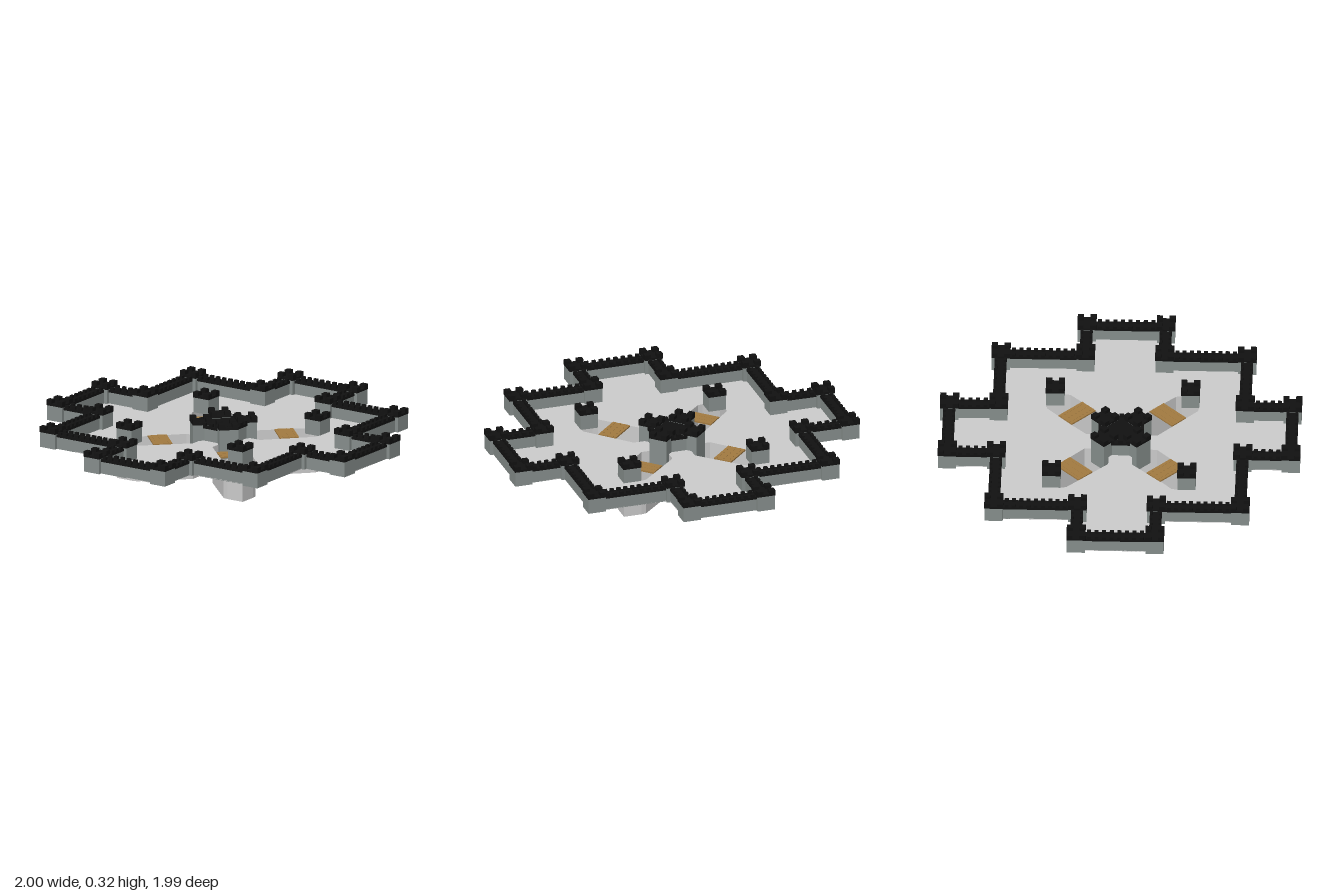
import * as THREE from 'three';
import { mergeGeometries } from 'three/addons/utils/BufferGeometryUtils.js';

const GROUND = 0.2;
const ground = new THREE.MeshStandardMaterial({ color: 0xcccccc, side: THREE.DoubleSide });
const stone = new THREE.MeshStandardMaterial({ color: 0x868e8c });
const black = new THREE.MeshStandardMaterial({ color: 0x111111 });
const wood = new THREE.MeshStandardMaterial({ color: 0xa27a40 });

function mesh(name, geometry, material) {
  const m = new THREE.Mesh(geometry, material);
  m.name = name;
  return m;
}

// Box given by its centre in plan and its bottom and top heights
function block(w, d, y0, y1, x = 0, z = 0) {
  return new THREE.BoxGeometry(w, y1 - y0, d).translate(x, (y0 + y1) / 2, z);
}

// Square tower with a dark cap and a merlon at each corner
function tower(name, x, z, { size = 0.1, y0 = GROUND, y1 = 0.285, turn = 0 } = {}) {
  const g = new THREE.Group();
  g.name = name;
  g.add(mesh('towerBody', block(size, size, y0, y1), stone));
  const crown = [block(size + 0.004, size + 0.004, y1, y1 + 0.012)];
  const o = size / 2 - 0.015;
  for (const sx of [-1, 1]) for (const sz of [-1, 1])
    crown.push(block(0.034, 0.034, y1 + 0.012, y1 + 0.032, sx * o, sz * o));
  g.add(mesh('towerCrown', mergeGeometries(crown), black));
  g.position.set(x, 0, z);
  g.rotation.y = turn;
  return g;
}

// Straight wall between two plan points, with a walkway and two rows of merlons
function wall(a, b) {
  const dx = b[0] - a[0], dz = b[1] - a[1], len = Math.hypot(dx, dz);
  const g = new THREE.Group();
  g.name = 'curtainWall';
  g.add(mesh('wallBody', block(len, 0.06, GROUND, 0.268), stone));
  const top = [block(len, 0.066, 0.268, 0.282)];
  const count = Math.max(2, Math.round((len - 0.1) / 0.04));
  for (let i = 0; i < count; i++) {
    const x = -len / 2 + 0.05 + (len - 0.1) * (i + 0.5) / count;
    for (const s of [-1, 1]) top.push(block(0.022, 0.016, 0.282, 0.297, x, s * 0.025));
  }
  g.add(mesh('wallBattlement', mergeGeometries(top), black));
  g.position.set((a[0] + b[0]) / 2, 0, (a[1] + b[1]) / 2);
  g.rotation.y = -Math.atan2(dz, dx);
  return g;
}

const toShape = (pts, Type = THREE.Shape) => new Type(pts.map(([x, z]) => new THREE.Vector2(x, -z)));

// Sunken pit: a floor and upright sides following the outline
function pit(pts) {
  const parts = [new THREE.ShapeGeometry(toShape(pts)).rotateX(-Math.PI / 2)];
  pts.forEach((a, i) => {
    const b = pts[(i + 1) % pts.length];
    const dx = b[0] - a[0], dz = b[1] - a[1];
    parts.push(new THREE.PlaneGeometry(Math.hypot(dx, dz), GROUND)
      .rotateY(-Math.atan2(dz, dx))
      .translate((a[0] + b[0]) / 2, GROUND / 2, (a[1] + b[1]) / 2));
  });
  return mesh('pit', mergeGeometries(parts), ground);
}

export function createModel() {
  const root = new THREE.Group();
  root.name = 'castle';

  // Tower positions in order around the cross-shaped enclosure
  const ring = [
    [-0.21, -0.95], [0.22, -0.95], [0.225, -0.68], [0.68, -0.68], [0.68, -0.215],
    [0.948, -0.215], [0.948, 0.22], [0.68, 0.22], [0.68, 0.675], [0.243, 0.675],
    [0.243, 0.937], [-0.195, 0.94], [-0.195, 0.675], [-0.675, 0.675], [-0.675, 0.213],
    [-0.948, 0.213], [-0.948, -0.22], [-0.675, -0.22], [-0.675, -0.68], [-0.21, -0.68],
  ];
  ring.forEach((p, i) => {
    root.add(tower('wallTower', p[0], p[1]));
    root.add(wall(p, ring[(i + 1) % ring.length]));
  });

  // Courtyard plate with four pit openings
  const outline = toShape(ring.map(([x, z]) => [x + Math.sign(x) * 0.03, z + Math.sign(z) * 0.03]));
  const pitOutline = [
    [0.065, 0.065], [0.065, 0.2], [0.29, 0.415], [0.32, 0.42],
    [0.42, 0.42], [0.42, 0.32], [0.415, 0.29], [0.2, 0.065],
  ];
  for (const sx of [-1, 1]) for (const sz of [-1, 1]) {
    const pts = pitOutline.map(([x, z]) => [x * sx, z * sz]);
    outline.holes.push(toShape(pts, THREE.Path));
    root.add(pit(pts));
    root.add(tower('pitTower', sx * 0.372, sz * 0.372));

    // Plank bridge across the pit
    const planks = [];
    for (let i = 0; i < 6; i++)
      planks.push(block(0.018, 0.18, GROUND, 0.208 + (i % 2) * 0.001, 0, (0)).translate((i - 2.5) * 0.0175, 0, 0));
    const bridge = mesh('bridge', mergeGeometries(planks), wood);
    bridge.position.set(sx * 0.25, 0, sz * 0.25);
    bridge.rotation.y = -sx * sz * Math.PI / 4;
    root.add(bridge);

    // Diagonal corner turret of the keep
    root.add(tower('keepTurret', sx * 0.088, sz * 0.09,
      { size: 0.105, y0: 0.13, y1: 0.293, turn: Math.PI / 4 }));
  }
  root.add(mesh('courtyard', new THREE.ExtrudeGeometry(outline, { depth: 0.004, bevelEnabled: false })
    .rotateX(-Math.PI / 2).translate(0, GROUND, 0), ground));

  // Central keep
  root.add(mesh('keepBody', block(0.24, 0.24, 0.13, 0.275), stone));
  const top = [block(0.25, 0.25, 0.275, 0.29)];
  for (let i = -2; i <= 2; i++) for (const s of [-1, 1]) {
    top.push(block(0.026, 0.018, 0.29, 0.306, i * 0.045, s * 0.116));
    top.push(block(0.018, 0.026, 0.29, 0.306, s * 0.116, i * 0.045));
  }
  root.add(mesh('keepBattlement', mergeGeometries(top), black));
  return root;
}
